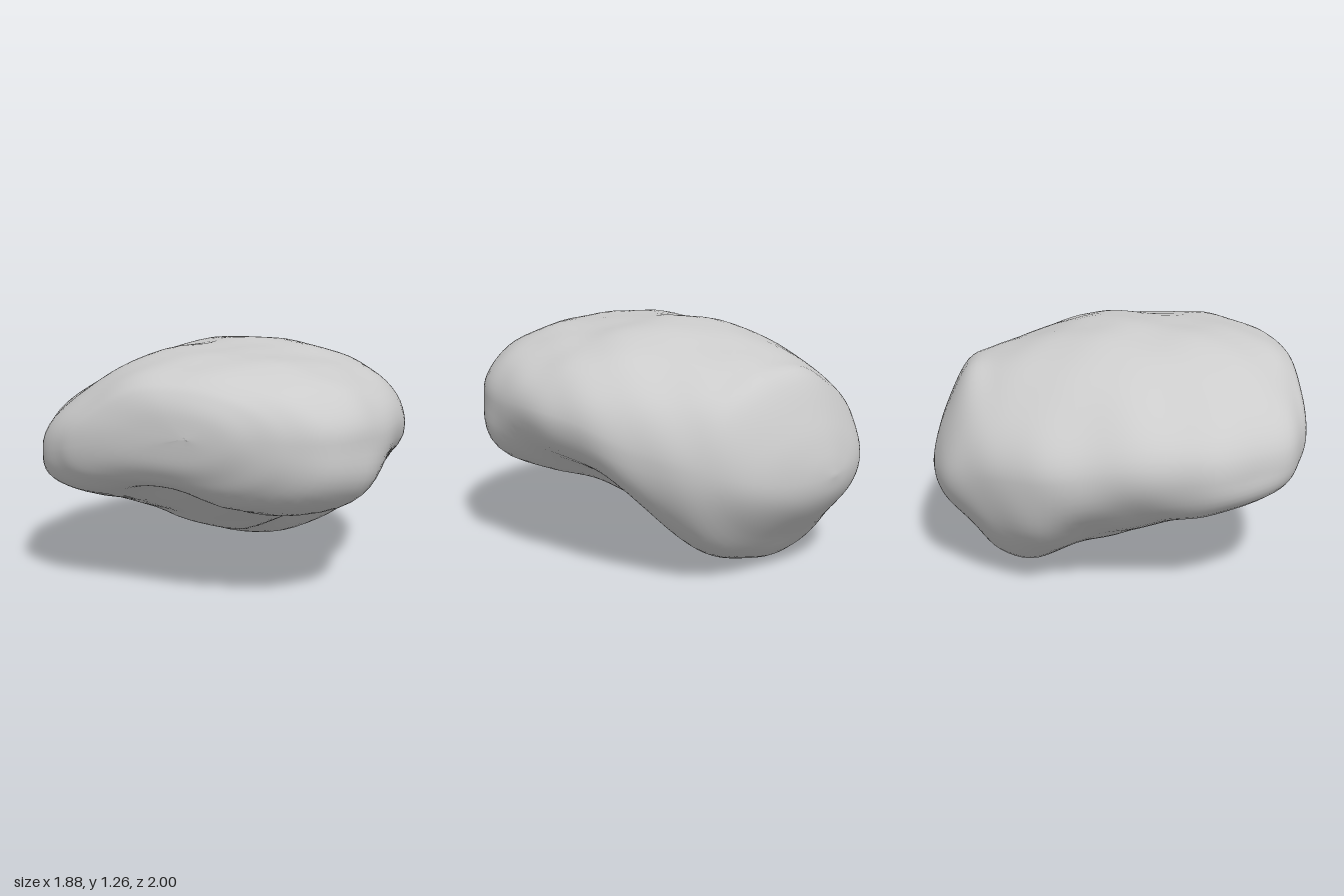
import * as THREE from 'three';
import { mergeVertices } from 'three/addons/utils/BufferGeometryUtils.js';

// Cross-sections from front to back:
// z, min x, max x, y of min x, y of max x, top, bottom, lower hollow at -x, lower hollow at +x
const SECTIONS = [
  [1.0, 0.1, 0.1, 0.88, 0.88, 0.88, 0.88, 0, 0],
  [0.985, -0.28, 0.3, 0.84, 0.88, 1.0, 0.73, 0, 0],
  [0.95, -0.52, 0.44, 0.79, 0.88, 1.08, 0.64, -0.04, -0.05],
  [0.9, -0.64, 0.58, 0.76, 0.87, 1.13, 0.57, -0.08, -0.1],
  [0.8, -0.78, 0.74, 0.73, 0.86, 1.18, 0.5, -0.13, -0.16],
  [0.6, -0.88, 0.87, 0.72, 0.86, 1.23, 0.44, -0.17, -0.19],
  [0.4, -0.94, 0.92, 0.72, 0.85, 1.245, 0.37, -0.12, -0.1],
  [0.2, -0.935, 0.935, 0.72, 0.85, 1.25, 0.27, -0.02, 0.06],
  [0.0, -0.92, 0.93, 0.72, 0.84, 1.26, 0.16, 0.04, 0.17],
  [-0.2, -0.88, 0.88, 0.7, 0.81, 1.235, 0.1, 0.05, 0.18],
  [-0.45, -0.82, 0.77, 0.67, 0.72, 1.17, 0.01, 0.02, 0.05],
  [-0.65, -0.69, 0.65, 0.65, 0.67, 1.11, 0.045, 0.01, 0],
  [-0.8, -0.57, 0.52, 0.61, 0.63, 1.05, 0.21, 0, 0],
  [-0.92, -0.44, 0.33, 0.57, 0.58, 0.83, 0.35, 0, 0],
  [-0.98, -0.27, 0.08, 0.55, 0.55, 0.66, 0.45, 0, 0],
  [-1.0, -0.13, -0.13, 0.55, 0.55, 0.55, 0.55, 0, 0],
];

// Smooth interpolation between neighbouring sections
function sectionAt(u) {
  const last = SECTIONS.length - 1;
  const i = Math.min(Math.floor(u), last - 1), t = u - i;
  const row = (k) => SECTIONS[Math.max(0, Math.min(last, k))];
  return SECTIONS[0].map((_, c) => {
    const p0 = row(i - 1)[c], p1 = row(i)[c], p2 = row(i + 1)[c], p3 = row(i + 2)[c];
    const m1 = (p2 - p0) / 2, m2 = (p3 - p1) / 2, d = p1 - p2;
    return p1 + m1 * t + (-3 * d - 2 * m1 - m2) * t * t + (2 * d + m1 + m2) * t * t * t;
  });
}

function createBoulderGeometry() {
  const steps = 5, around = 72;
  const rows = (SECTIONS.length - 1) * steps;
  const positions = [], indices = [];

  for (let r = 0; r <= rows; r++) {
    const [z, xl, xr, yl, yr, top, bottom, hollowL, hollowR] = sectionAt(r / steps);
    for (let j = 0; j < around; j++) {
      const a = (j / around) * Math.PI * 2;
      const c = Math.cos(a), s = Math.sin(a);
      const right = c >= 0, upper = s >= 0;
      const side = right ? xr : xl, sideY = right ? yr : yl;
      // the keel sits further towards -x than the crown
      const mid = (xl + xr) / 2 - (upper ? 0.02 : 0.06) * (xr - xl);
      // pull each quadrant in (hollow) or push it out (full)
      const hollow = upper ? (right ? -0.03 : 0.08) : (right ? hollowR : hollowL);
      const k = 1 - hollow * Math.sin(2 * a) ** 2;
      let x = mid + (side - mid) * Math.abs(c) * k;
      let y = sideY + ((upper ? top : bottom) - sideY) * Math.abs(s) * k;

      // arch under the front lip
      if (!upper) {
        const arch = Math.exp(-(((x + 0.15) / 0.3) ** 2) - ((z - 0.72) / 0.25) ** 2);
        y += 0.1 * arch * s * s;
      }

      // gentle weathered unevenness, fading at both tips
      const fade = Math.min(1, (xr - xl) / 1.2);
      const bump = fade * (0.006 * Math.sin(7 * x + 3 * z + 5 * y) * Math.sin(6 * z - 4 * y)
        + 0.005 * Math.sin(15 * x - 9 * y) * Math.sin(13 * z + 2 * x));
      x += bump * c;
      y += bump * s;
      positions.push(x, y, z);

      if (r < rows) {
        const n = (j + 1) % around, p = r * around;
        indices.push(p + j, p + around + j, p + n, p + n, p + around + j, p + around + n);
      }
    }
  }

  const geometry = new THREE.BufferGeometry();
  geometry.setAttribute('position', new THREE.Float32BufferAttribute(positions, 3));
  geometry.setIndex(indices);
  const welded = mergeVertices(geometry, 1e-5);
  welded.computeBoundingBox();
  welded.translate(0, -welded.boundingBox.min.y, 0);
  welded.computeVertexNormals();
  return welded;
}

export function createModel() {
  const group = new THREE.Group();
  group.name = 'rock';
  const boulder = new THREE.Mesh(
    createBoulderGeometry(),
    new THREE.MeshStandardMaterial({ color: 0xcccccc }),
  );
  boulder.name = 'boulder';
  group.add(boulder);
  return group;
}
